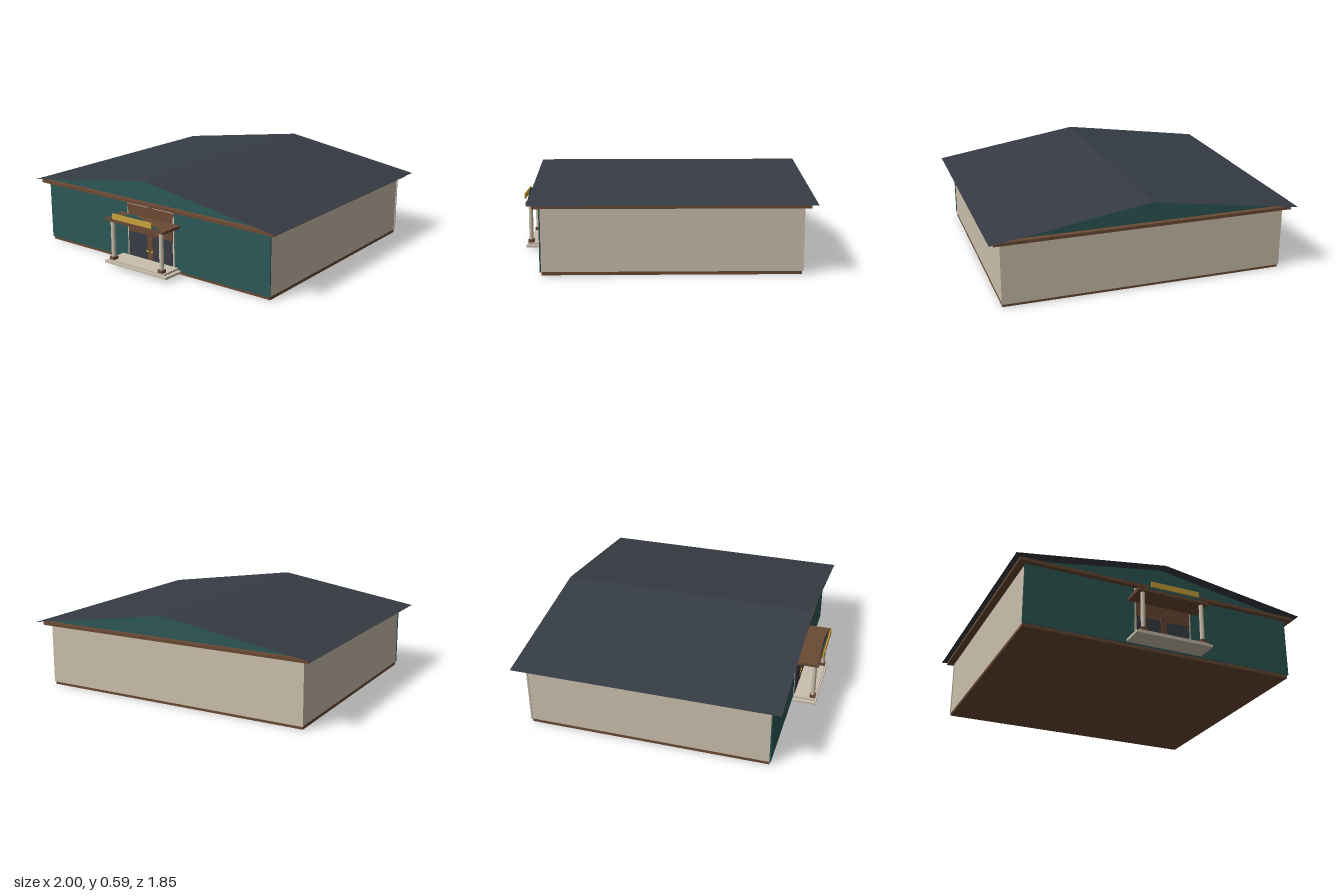
import * as THREE from 'three';

const mat = (name, color, side = THREE.FrontSide) => {
  const m = new THREE.MeshStandardMaterial({ color, side });
  m.name = name;
  return m;
};

export function createModel() {
  const teal = mat('teal siding', 0x2d5856, THREE.DoubleSide);
  const cream = mat('cream wall', 0xcabfac);
  const brown = mat('brown timber', 0x6b4a34);
  const slate = mat('slate roof', 0x363c44, THREE.DoubleSide);
  const glass = mat('dark glass', 0x383c45);
  const gold = mat('gold', 0xc9a23c);

  const model = new THREE.Group();
  model.name = 'hall';

  const add = (name, geometry, material, parent = model) => {
    const mesh = new THREE.Mesh(geometry, material);
    mesh.name = name;
    parent.add(mesh);
    return mesh;
  };
  // Box given by its limits on each axis
  const box = (name, material, [x0, x1], [y0, y1], [z0, z1], parent) => {
    const mesh = add(name, new THREE.BoxGeometry(x1 - x0, y1 - y0, z1 - z0), material, parent);
    mesh.position.set((x0 + x1) / 2, (y0 + y1) / 2, (z0 + z1) / 2);
    return mesh;
  };
  // Flat triangle standing upright
  const gable = (name, halfWidth, y0, y1, z, parent) => {
    const shape = new THREE.Shape([
      new THREE.Vector2(-halfWidth, y0), new THREE.Vector2(halfWidth, y0), new THREE.Vector2(0, y1),
    ]);
    add(name, new THREE.ShapeGeometry(shape), teal, parent).position.z = z;
  };

  // Main building
  box('foundation', brown, [-0.92, 0.92], [0, 0.02], [-0.845, 0.735]);
  box('wallCore', cream, [-0.92, 0.92], [0.02, 0.42], [-0.845, 0.737]);
  box('frontWall', teal, [-0.925, 0.925], [0.02, 0.42], [0.737, 0.745]);
  box('backWall', cream, [-0.925, 0.925], [0.02, 0.42], [-0.855, -0.845]);
  box('eaveBoard', brown, [-0.967, 0.967], [0.415, 0.435], [-0.89, 0.78]);
  gable('frontGable', 0.925, 0.435, 0.588, 0.745);
  gable('backGable', 0.925, 0.435, 0.588, -0.855);

  // Two thin roof slopes meeting at the ridge
  const rise = 0.152, ridge = 0.59, z0 = -0.925, z1 = 0.81;
  for (const s of [-1, 1]) {
    const slope = new THREE.PlaneGeometry(Math.hypot(1, rise), z1 - z0);
    slope.rotateX(-Math.PI / 2).rotateZ(-s * Math.atan(rise));
    add('roofSlope', slope, slate).position.set(s / 2, ridge - rise / 2, (z0 + z1) / 2);
  }

  // Entrance set on the front wall
  const entrance = new THREE.Group();
  entrance.name = 'entrance';
  model.add(entrance);
  box('entrancePanel', cream, [-0.197, 0.197], [0.03, 0.415], [0.745, 0.748], entrance);
  box('lintel', brown, [-0.187, 0.187], [0.21, 0.378], [0.748, 0.751], entrance);
  box('transomBar', brown, [-0.197, 0.197], [0.376, 0.398], [0.748, 0.751], entrance);
  box('transomPost', brown, [-0.016, 0.016], [0.376, 0.415], [0.748, 0.752], entrance);
  box('doorFrame', brown, [-0.022, 0.022], [0.04, 0.23], [0.748, 0.755], entrance);
  box('doorCatch', glass, [-0.007, 0.007], [0.219, 0.229], [0.755, 0.757], entrance);
  for (const s of [-1, 1]) {
    box('doorGlass', glass, [s * 0.103 - 0.081, s * 0.103 + 0.081], [0.04, 0.214],
      [0.748, 0.753], entrance);
    box('doorHandle', gold, [s * 0.018 - 0.008, s * 0.018 + 0.008], [0.104, 0.113],
      [0.755, 0.762], entrance);
  }

  // Porch: steps, columns, canopy, pediment and blank sign board
  const porch = new THREE.Group();
  porch.name = 'porch';
  model.add(porch);
  box('lowerStep', cream, [-0.26, 0.26], [0.022, 0.037], [0.757, 0.907], porch);
  box('upperStep', cream, [-0.235, 0.235], [0.037, 0.05], [0.757, 0.895], porch);
  for (const s of [-1, 1]) {
    const x = s * 0.204;
    box('columnBase', brown, [x - 0.019, x + 0.019], [0.05, 0.07], [0.859, 0.897], porch);
    add('column', new THREE.CylinderGeometry(0.0145, 0.0145, 0.245, 16), cream, porch)
      .position.set(x, 0.1925, 0.878);
  }
  box('canopy', brown, [-0.245, 0.245], [0.312, 0.33], [0.745, 0.907], porch);
  gable('pediment', 0.225, 0.33, 0.398, 0.9, porch);
  box('signBoard', gold, [-0.165, 0.165], [0.34, 0.376], [0.917, 0.925], porch);

  return model;
}
